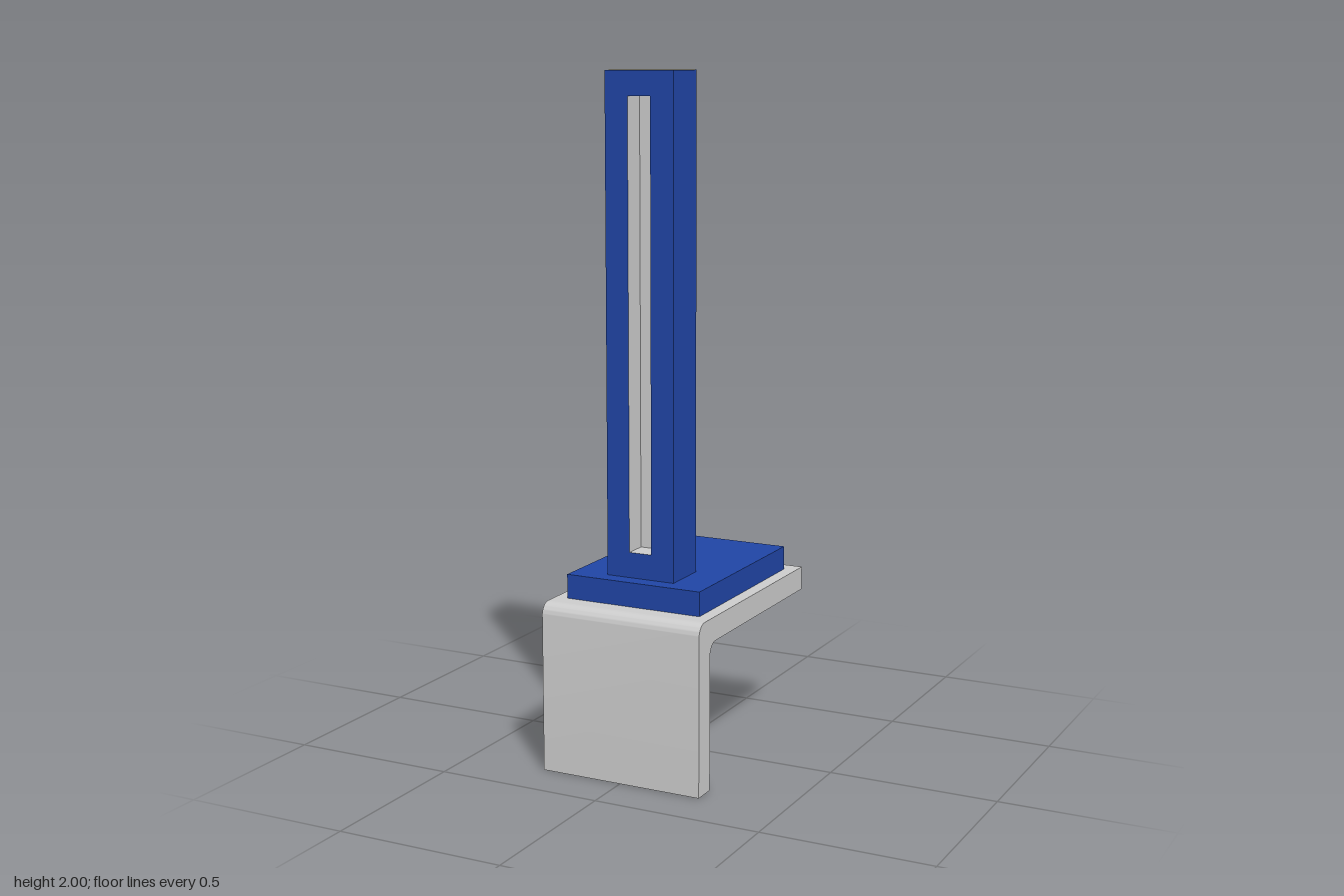
import * as THREE from 'three';
import { toCreasedNormals } from 'three/addons/utils/BufferGeometryUtils.js';

const grey = new THREE.MeshStandardMaterial({ color: 0xcccccc });
const blue = new THREE.MeshStandardMaterial({ color: 0x2045a5 });
const gold = new THREE.MeshStandardMaterial({ color: 0xd6be62 });

// Box from its extents; faces overrides the material per side
// (0 +x, 1 -x, 2 +y, 3 -y, 4 +z, 5 -z)
function box(name, [x0, x1], [y0, y1], [z0, z1], faces = {}) {
  const geometry = new THREE.BoxGeometry(x1 - x0, y1 - y0, z1 - z0);
  const materials = Array.from({ length: 6 }, (_, i) => faces[i] ?? blue);
  const mesh = new THREE.Mesh(geometry, materials);
  mesh.position.set((x0 + x1) / 2, (y0 + y1) / 2, (z0 + z1) / 2);
  mesh.name = name;
  return mesh;
}

// Bent sheet bracket: side profile (z, y) extruded across the width
function makeBracket() {
  const width = 0.5, z = 0.355, top = 0.5, t = 0.07, r = 0.035;
  const s = new THREE.Shape();
  s.moveTo(z - t, 0);
  s.lineTo(z, 0);
  s.lineTo(z, top - r);
  s.absarc(z - r, top - r, r, 0, Math.PI / 2, false);
  s.lineTo(-z, top);
  s.lineTo(-z, top - t);
  s.lineTo(z - t - r, top - t);
  s.absarc(z - t - r, top - t - r, r, Math.PI / 2, 0, true);
  s.closePath();
  let geometry = new THREE.ExtrudeGeometry(s, { depth: width, bevelEnabled: false, curveSegments: 10 });
  geometry.translate(0, 0, -width / 2).rotateY(-Math.PI / 2);
  geometry = toCreasedNormals(geometry, 0.6);
  const mesh = new THREE.Mesh(geometry, grey);
  mesh.name = 'bracket';
  return mesh;
}

// Post with a grey-lined slot in the front and a gold top face
function makePost() {
  const post = new THREE.Group();
  post.name = 'post';
  const w = 0.106, s = 0.035;
  const y0 = 0.571, y1 = 2, slot0 = 0.645, slot1 = 1.93;
  const back = [0.085, 0.156], front = [0.156, 0.227];
  post.add(
    box('postBack', [-w, w], [y0, y1], back, { 2: gold, 4: grey }),
    box('leftRail', [s, w], [y0, y1], front, { 1: grey, 2: gold }),
    box('rightRail', [-w, -s], [y0, y1], front, { 0: grey, 2: gold }),
    box('slotSill', [-s, s], [y0, slot0], front, { 2: grey }),
    box('slotHead', [-s, s], [slot1, y1], front, { 2: gold, 3: grey })
  );
  return post;
}

export function createModel() {
  const model = new THREE.Group();
  model.name = 'postOnBracket';
  model.add(
    makeBracket(),
    box('basePlate', [-0.212, 0.212], [0.5, 0.571], [-0.306, 0.276]),
    makePost()
  );
  return model;
}
